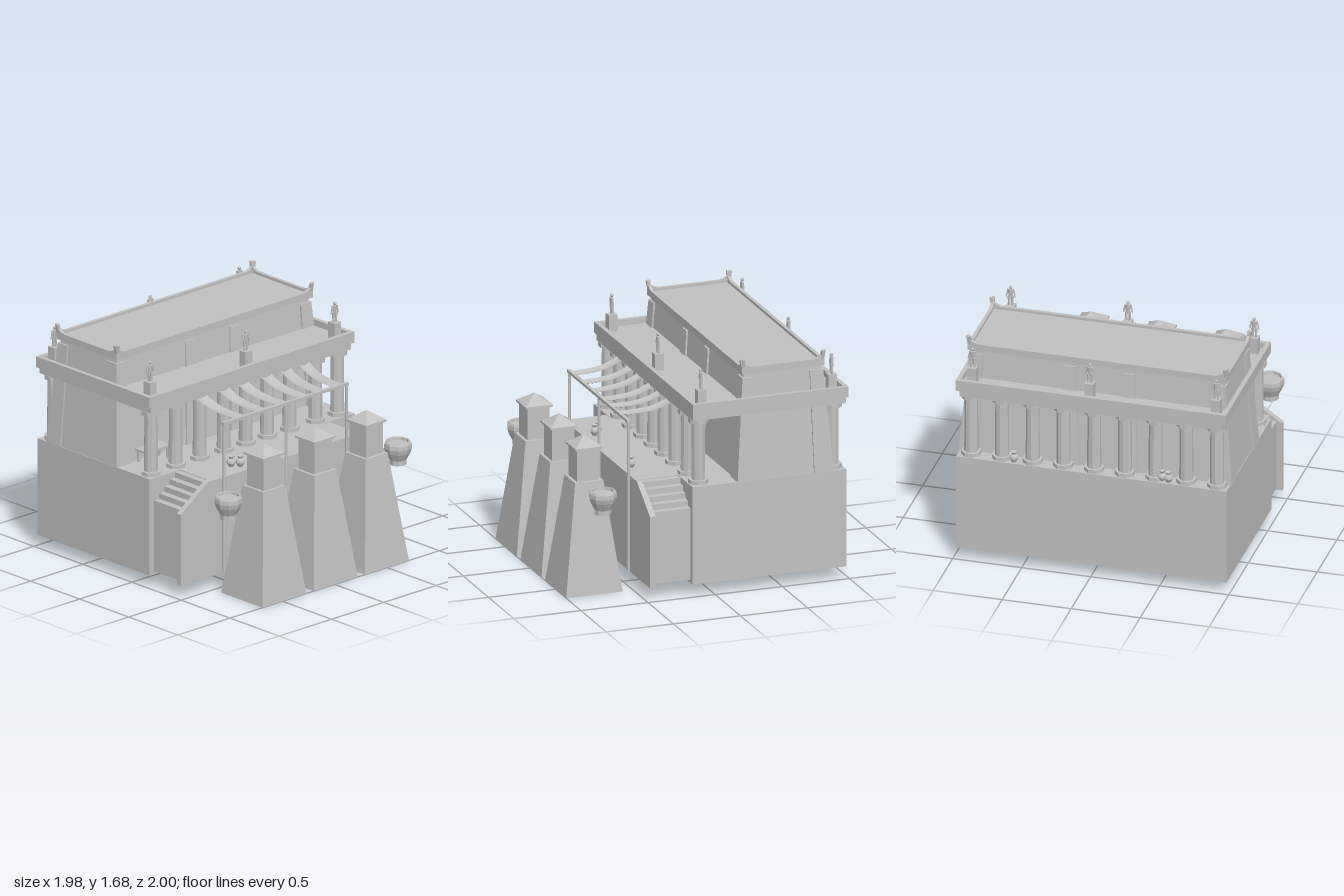
import * as THREE from 'three';

const stone = new THREE.MeshStandardMaterial({ color: 0xc0c0c0, flatShading: true, side: THREE.DoubleSide });
stone.name = 'greyStone';

function add(parent, name, geo, x = 0, y = 0, z = 0) {
  const m = new THREE.Mesh(geo, stone);
  m.name = name;
  m.position.set(x, y, z);
  parent.add(m);
  return m;
}

// Box given by its limits
function block(parent, name, x0, x1, y0, y1, z0, z1) {
  return add(parent, name, new THREE.BoxGeometry(x1 - x0, y1 - y0, z1 - z0),
    (x0 + x1) / 2, (y0 + y1) / 2, (z0 + z1) / 2);
}

// Box whose bottom and top rectangles [x0, x1, z0, z1] differ; can be open below
function slant(parent, name, bottom, top, y0, y1, open = false) {
  const g = new THREE.BoxGeometry(1, 1, 1), p = g.attributes.position;
  for (let i = 0; i < p.count; i++) {
    const up = p.getY(i) > 0, r = up ? top : bottom;
    p.setXYZ(i, r[p.getX(i) > 0 ? 1 : 0], up ? y1 : y0, r[p.getZ(i) > 0 ? 3 : 2]);
  }
  if (open) {
    const idx = Array.from(g.index.array);
    idx.splice(18, 6);
    g.setIndex(idx);
    g.clearGroups();
  }
  g.computeVertexNormals();
  return add(parent, name, g);
}

// Four thin walls around a rectangle
function rim(parent, name, x0, x1, y0, y1, z0, z1, t) {
  block(parent, name, x0, x1, y0, y1, z0, z0 + t);
  block(parent, name, x0, x1, y0, y1, z1 - t, z1);
  block(parent, name, x0, x0 + t, y0, y1, z0 + t, z1 - t);
  block(parent, name, x1 - t, x1, y0, y1, z0 + t, z1 - t);
}

function extrude(points, depth) {
  const s = new THREE.Shape(points.map(([x, y]) => new THREE.Vector2(x, y)));
  return new THREE.ExtrudeGeometry(s, { depth, bevelEnabled: false });
}

const lathe = (pts, n) => new THREE.LatheGeometry(pts.map(([r, y]) => new THREE.Vector2(r, y)), n);

function column(parent, x, z) {
  const g = new THREE.Group();
  g.name = 'column';
  g.position.set(x, 0.798, z);
  add(g, 'columnBase', new THREE.CylinderGeometry(0.072, 0.072, 0.03, 8), 0, 0.015).rotation.y = Math.PI / 8;
  add(g, 'columnShaft', new THREE.CylinderGeometry(0.047, 0.05, 0.43, 10), 0, 0.24);
  add(g, 'columnCapital', new THREE.CylinderGeometry(0.072, 0.072, 0.032, 8), 0, 0.464).rotation.y = Math.PI / 8;
  parent.add(g);
}

function statue(parent, x, z) {
  const g = new THREE.Group();
  g.name = 'statue';
  g.position.set(x, 1.48, z);
  block(g, 'pedestal', -0.032, 0.032, -0.13, 0, -0.032, 0.032);
  for (const s of [-1, 1]) {
    add(g, 'leg', new THREE.CylinderGeometry(0.011, 0.007, 0.07, 6), s * 0.012, 0.035);
    add(g, 'arm', new THREE.CylinderGeometry(0.007, 0.005, 0.06, 5), s * 0.026, 0.092).rotation.z = s * 0.22;
  }
  const torso = add(g, 'torso', new THREE.CylinderGeometry(0.022, 0.015, 0.055, 7), 0, 0.095);
  torso.scale.z = 0.6;
  add(g, 'head', new THREE.SphereGeometry(0.013, 7, 5), 0, 0.138);
  parent.add(g);
}

function tower(parent, x, z) {
  const sq = h => [x - h, x + h, z - h, z + h];
  slant(parent, 'towerBase', sq(0.21), sq(0.105), 0, 0.8, true);
  slant(parent, 'towerTop', sq(0.083), sq(0.083), 0.8, 1.03);
  slant(parent, 'towerEave', sq(0.1), sq(0.1), 1.03, 1.045);
  slant(parent, 'towerRoof', sq(0.097), sq(0.0005), 1.045, 1.115);
}

// Cloth strip sagging along its length and across its width
function awning(parent, x, drift) {
  const path = new THREE.CatmullRomCurve3([[0.155, 1.277], [0.23, 1.245], [0.32, 1.225], [0.42, 1.218], [0.505, 1.218]]
    .map(([z, y]) => new THREE.Vector3(0, y, z)));
  const g = new THREE.PlaneGeometry(1, 1, 6, 12), p = g.attributes.position;
  for (let i = 0; i < p.count; i++) {
    const u = p.getX(i), v = p.getY(i) + 0.5, c = path.getPoint(v);
    p.setXYZ(i, x + u * 0.1 + drift * v, c.y + 0.05 * u * u, c.z);
  }
  add(parent, 'awningStrip', g);
}

export function createModel() {
  const root = new THREE.Group();
  root.name = 'temple';

  // Hollow podium, front stairs and stair wall
  slant(root, 'podium', [-0.98, 0.98, -0.985, 0.16], [-0.98, 0.98, -0.985, 0.16], 0.085, 0.8, true);
  const right = [[0.94, 0.11]];
  for (let i = 0; i < 5; i++) {
    const y = 0.635 + i * 0.04, x = 0.94 - i * 0.05;
    right.push([x, y], [x - 0.05, y]);
  }
  right.push([0.69, 0.8]);
  const mirror = pts => pts.concat(pts.map(([x, y]) => [-x, y]).reverse());
  add(root, 'stairs', extrude(mirror(right), 0.28), 0, 0, 0.16);
  add(root, 'stairWall', extrude(mirror([[0.98, 0.095], [0.98, 0.62], [0.72, 0.8]]), 0.042), 0, 0, 0.436);

  // Tapered hall
  const zc = -0.53, hx = y => 0.975 - 0.078 * (y - 0.8), hz = y => 0.345 - 0.078 * (y - 0.8);
  const rect = y => [-hx(y), hx(y), zc - hz(y), zc + hz(y)];
  slant(root, 'hall', rect(0.8), rect(1.58), 0.8, 1.58);

  // Pilasters at the corners and along the long walls
  const t = 0.013;
  for (const sz of [-1, 1]) {
    const zs = (y, d) => [zc + sz * hz(y) - (sz > 0 ? d : t), zc + sz * hz(y) + (sz > 0 ? t : d)];
    for (const sx of [-1, 1]) {
      const at = (y, w) => {
        const xs = [sx * (hx(y) + t), sx * (hx(y) - w)].sort((a, b) => a - b);
        return [...xs, ...zs(y, w)];
      };
      slant(root, 'cornerPilaster', at(0.8, 0.13), at(1.54, 0.085), 0.8, 1.54);
    }
    for (const x of [-0.225, 0.2]) {
      const at = (y, w) => [x - w, x + w, ...zs(y, 0.02)];
      slant(root, 'wallPilaster', at(0.8, 0.085), at(1.54, 0.042), 0.8, 1.54);
    }
  }

  // Hall roof with raised rim and upswept corner horns
  block(root, 'hallRoof', -0.93, 0.93, 1.572, 1.6, -0.83, -0.227);
  rim(root, 'hallRoofRim', -0.938, 0.938, 1.57, 1.62, -0.836, -0.222, 0.025);
  const horn = [[0, 0], [-0.012, 0.06], [0.008, 0.06], [0.02, 0.028], [0.045, 0.012], [0.08, 0]];
  for (const sx of [-1, 1]) for (const sz of [-1, 1]) {
    const g = new THREE.Group();
    g.name = 'cornerHorn';
    g.position.set(sx * 0.938, 1.618, sz > 0 ? -0.222 : -0.836);
    add(g, 'hornAlongFront', extrude(horn, 0.022)).rotation.y = sx > 0 ? Math.PI : 0;
    g.children[0].position.z = sx > 0 ? (sz > 0 ? 0 : 0.022) : (sz > 0 ? -0.022 : 0);
    add(g, 'hornAlongSide', extrude(horn, 0.022)).rotation.y = sz > 0 ? Math.PI / 2 : -Math.PI / 2;
    g.children[1].position.x = sz > 0 ? (sx > 0 ? -0.022 : 0) : (sx > 0 ? 0 : 0.022);
    root.add(g);
  }

  // Portico roof: beam, cornice and rim
  block(root, 'architrave', -0.955, 0.955, 1.277, 1.326, -0.99, 0.147);
  block(root, 'porticoRoof', -0.97, 0.97, 1.325, 1.36, -0.99, 0.147);
  rim(root, 'porticoCornice', -0.98, 0.98, 1.325, 1.405, -1, 0.157, 0.032);

  // Colonnades
  for (const x of [-0.895, -0.66, -0.43, -0.2, 0.01, 0.215, 0.43, 0.675, 0.885]) column(root, x, 0.083);
  for (let i = 0; i < 9; i++) column(root, -0.89 + i * 0.2225, -0.91);

  // Statues on the portico roof
  for (const x of [-0.885, 0.03, 0.88]) for (const z of [0.062, -0.91]) statue(root, x, z);

  // Awning on three poles
  for (const x of [-0.58, 0.01, 0.59])
    add(root, 'awningPole', new THREE.CylinderGeometry(0.011, 0.011, 1.1, 8), x, 0.65, 0.492);
  block(root, 'awningBeam', -0.595, 0.6, 1.196, 1.216, 0.478, 0.505);
  [[-0.48, 0.02], [-0.265, 0.01], [-0.085, 0.03], [0.14, 0.005], [0.32, -0.015], [0.5, -0.03]]
    .forEach(([x, d]) => awning(root, x, d));

  // Towers in front, with a floating bowl at either side
  for (const x of [-0.48, 0.01, 0.5]) tower(root, x, 0.79);
  const bowl = [[0, 0.63], [0.06, 0.63], [0.06, 0.665], [0.09, 0.72], [0.1, 0.755], [0.098, 0.785],
    [0.09, 0.8], [0.078, 0.8], [0.075, 0.78], [0, 0.78]];
  for (const x of [-0.8, 0.82]) add(root, 'bowl', lathe(bowl, 9), x, 0, 0.77);

  // Bench
  block(root, 'benchTop', -0.81, -0.57, 0.885, 0.9, -0.17, -0.06);
  for (const x of [-0.79, -0.59]) for (const z of [-0.155, -0.075])
    block(root, 'benchLeg', x - 0.008, x + 0.008, 0.8, 0.89, z - 0.008, z + 0.008);

  // Jugs
  const jug = [[0, 0], [0.016, 0], [0.033, 0.03], [0.03, 0.046], [0.015, 0.058], [0.015, 0.065], [0.024, 0.078], [0, 0.07]];
  for (const [x, z] of [[-0.385, 0.355], [-0.335, 0.395], [0.41, 0.405], [0.57, -0.95], [-0.55, -0.95], [-0.5, -0.94]])
    add(root, 'jug', lathe(jug, 8), x, 0.8, z);

  return root;
}
